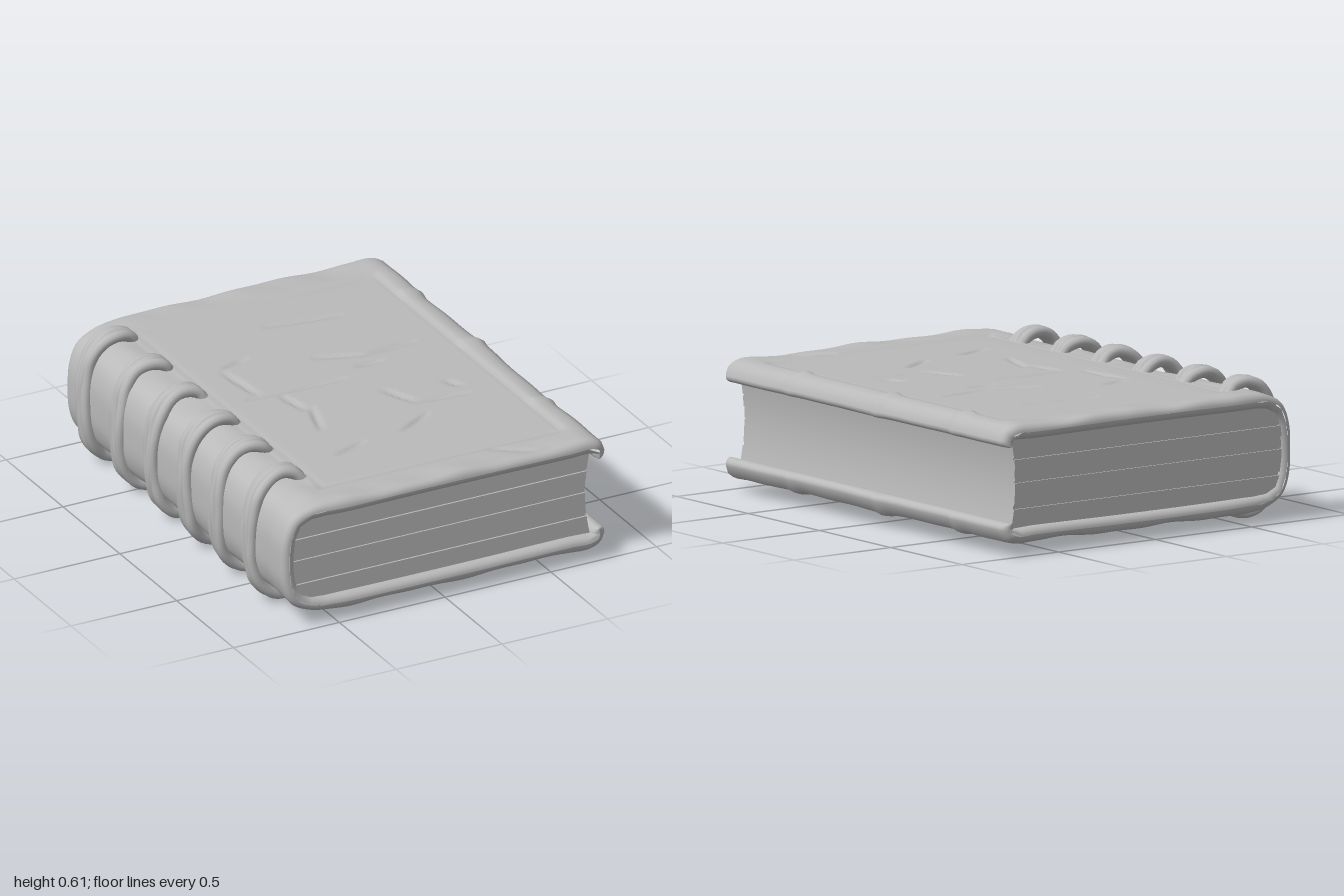
import * as THREE from 'three';

const MID = 0.305; // height of the book's mirror plane
const grey = new THREE.MeshStandardMaterial({ color: 0xbababa });
grey.name = 'stone grey';

const smooth = THREE.MathUtils.smoothstep;
const bump = (d, w) => Math.exp(-(d * d) / (w * w));

// Cuts in the boards: x1, z1, x2, z2
const scratches = [
  [0.02, -0.61, 0.35, -0.57], [-0.31, -0.36, -0.2, -0.385], [-0.34, -0.32, -0.31, -0.07],
  [-0.36, -0.05, 0.08, -0.03], [-0.23, -0.01, -0.2, 0.15], [-0.17, 0.14, -0.23, 0.34],
  [0.06, -0.26, 0.27, -0.19], [0.25, -0.19, 0.5, -0.21], [0.17, 0.14, 0.24, 0.3],
  [0.24, 0.3, 0.47, 0.32], [0.44, 0.18, 0.48, 0.25], [0.07, 0.51, 0.23, 0.42],
  [-0.28, 0.58, -0.13, 0.53], [0.3, 0.85, 0.45, 0.93], [0.18, -0.11, 0.3, -0.11],
];

function scratchDepth(x, z) {
  let depth = 0;
  for (const [x1, z1, x2, z2] of scratches) {
    const dx = x2 - x1, dz = z2 - z1;
    const k = THREE.MathUtils.clamp(((x - x1) * dx + (z - z1) * dz) / (dx * dx + dz * dz), 0, 1);
    const d = Math.hypot(x - x1 - k * dx, z - z1 - k * dz);
    const taper = 0.4 + 0.6 * Math.sin(Math.PI * k);
    depth = Math.max(depth, 0.014 * taper * bump(d, 0.011));
  }
  return depth;
}

// Height of the worn leather above the plain outer surface
function relief(x, z) {
  const d = Math.min(x + 0.5, 0.66 - x, 0.835 - Math.abs(z));
  let h = -0.006 * smooth(d, 0, 0.03) - 0.008 * bump(d - 0.01, 0.012) - scratchDepth(x, z);
  const border = 1 - smooth(d, -0.1, 0);
  h += border * 0.004 * (Math.sin(x * 11 + z * 7) + Math.sin(z * 17 - x * 23) * 0.6);
  if (x < -0.5) h -= 0.008 * (1 - smooth(Math.abs(z), 0.74, 0.86));
  if (x > 0.66) for (const n of [-0.62, -0.09, 0.53]) h += 0.009 * bump(z - n, 0.035);
  return h;
}

// Half-length of the cover in z, with rounded corners and a shorter spine
function halfLength(x) {
  const r = 0.06;
  const base = 0.965 + 0.028 * smooth(x, -0.72, -0.4);
  const over = Math.min(Math.max(x - (0.77 - r), -0.69 - x, 0), r * 0.98);
  return base - (r - Math.sqrt(r * r - over * over)) * 0.7;
}

// Distances along a length, crowded at both rounded ends
function spaced(length, r, n) {
  const ends = [0, 1, 2, 3, 4, 5].map(i => r * (1 - Math.cos((i / 6) * Math.PI / 2)));
  const out = [...ends];
  for (let i = 0; i <= n; i++) out.push(r + (length - 2 * r) * i / n);
  return out.concat(ends.map(e => length - e).reverse());
}
const roundEnd = (e, r) => (e >= r ? 1 : Math.sqrt(Math.max(0, 1 - (1 - e / r) ** 2)));

// A path over the top half, mirrored below and around the spine
function wrapPath(half) {
  const top = half.map(([x, y]) => new THREE.Vector3(x, y, 0));
  const bottom = half.slice(0, -1).reverse().map(([x, y]) => new THREE.Vector3(x, 2 * MID - y, 0));
  return new THREE.CatmullRomCurve3([...top, ...bottom]);
}

// One continuous cover: boards, spine and curled lips
function coverGeometry() {
  const path = wrapPath([
    [0.737, 0.465], [0.738, 0.505], [0.7, 0.523], [0.6, 0.522], [0.2, 0.525], [-0.2, 0.525],
    [-0.5, 0.522], [-0.6, 0.518], [-0.672, 0.485], [-0.706, 0.41], [-0.714, MID],
  ]);
  path.arcLengthDivisions = 1500;
  const length = path.getLength(), r = 0.03;
  const outer = spaced(length, r, 215).map(s => [s, 1]);
  const inner = spaced(length, r, 45).map(s => [s, -1]).reverse();
  const ring = [...outer, ...inner].map(([s, side]) => {
    const u = THREE.MathUtils.clamp(s / length, 0, 1);
    const p = path.getPointAt(u), t = path.getTangentAt(u);
    return { p, nx: t.y, ny: -t.x, side, t: 0.032 * roundEnd(Math.min(s, length - s), r) };
  });
  const rows = spaced(2, 0.035, 150);
  const pos = [], index = [], n = ring.length;
  for (const row of rows) {
    const v = row - 1, end = roundEnd(1 - Math.abs(v), 0.035);
    for (const q of ring) {
      const z = v * halfLength(q.p.x);
      const h = q.side > 0 ? relief(q.p.x, z) * end * (q.t / 0.032) : 0;
      const off = q.side * q.t * end + h;
      pos.push(q.p.x + q.nx * off, q.p.y + q.ny * off, z);
    }
  }
  for (let j = 0; j < rows.length - 1; j++) {
    for (let i = 0; i < n; i++) {
      const a = j * n + i, b = j * n + (i + 1) % n;
      index.push(a, b, b + n, a, b + n, a + n);
    }
  }
  const g = new THREE.BufferGeometry();
  g.setAttribute('position', new THREE.Float32BufferAttribute(pos, 3));
  g.setIndex(index);
  g.computeVertexNormals();
  return g;
}

// A slab of pages between two heights, with a hollow fore edge
function pageSlab(y0, y1, halfZ) {
  const shape = new THREE.Shape();
  const right = y => 0.688 + 0.024 * ((y - MID) / 0.2) ** 2;
  const left = y => -0.69 + 0.05 * Math.max(0, (Math.abs(y - MID) - 0.13) / 0.07) ** 2;
  const steps = 8;
  for (let i = 0; i <= steps; i++) {
    const y = y0 + (y1 - y0) * i / steps;
    if (i) shape.lineTo(right(y), y); else shape.moveTo(right(y), y);
  }
  for (let i = steps; i >= 0; i--) {
    const y = y0 + (y1 - y0) * i / steps;
    shape.lineTo(left(y), y);
  }
  const g = new THREE.ExtrudeGeometry(shape, { depth: 2 * halfZ, bevelEnabled: false });
  return g.translate(0, 0, -halfZ);
}

export function createModel() {
  const book = new THREE.Group();
  book.name = 'book';
  const add = (geometry, name, parent = book) => {
    const mesh = new THREE.Mesh(geometry, grey);
    mesh.name = name;
    parent.add(mesh);
  };

  add(coverGeometry(), 'cover');

  // Page block in uneven layers
  const pages = new THREE.Group();
  pages.name = 'pages';
  const cuts = [0.105, 0.195, 0.21, 0.305, 0.312, 0.36, 0.405, 0.412, 0.505];
  const depths = [0.952, 0.944, 0.95, 0.943, 0.948, 0.953, 0.945, 0.952];
  depths.forEach((d, i) => add(pageSlab(cuts[i], cuts[i + 1], d), 'pageLayer', pages));
  book.add(pages);

  // Cords wound around the spine, three strands per band
  const bandHalf = [
    [-0.512, 0.535], [-0.54, 0.566], [-0.6, 0.581], [-0.66, 0.562],
    [-0.712, 0.5], [-0.735, 0.41], [-0.742, MID],
  ];
  [-0.8, -0.5, -0.2, 0.09, 0.37, 0.66].forEach((z, b) => {
    const band = new THREE.Group();
    band.name = 'spineBand';
    [-0.024, 0, 0.024].forEach((dz, s) => {
      const path = wrapPath(bandHalf);
      path.points.forEach((p, i) => {
        p.z = dz + 0.006 * Math.sin(i * 1.3 + b * 2 + s * 2.4);
        p.x += 0.003 * Math.sin(i * 2 + s * 2 + b);
      });
      add(new THREE.TubeGeometry(path, 48, s === 1 ? 0.028 : 0.025, 10), 'cord', band);
      // Rounded cord ends
      for (const p of [path.points[0], path.points[path.points.length - 1]]) {
        add(new THREE.SphereGeometry(0.025, 10, 8).translate(p.x, p.y, p.z), 'cordEnd', band);
      }
    });
    band.position.z = z;
    book.add(band);
  });

  return book;
}
